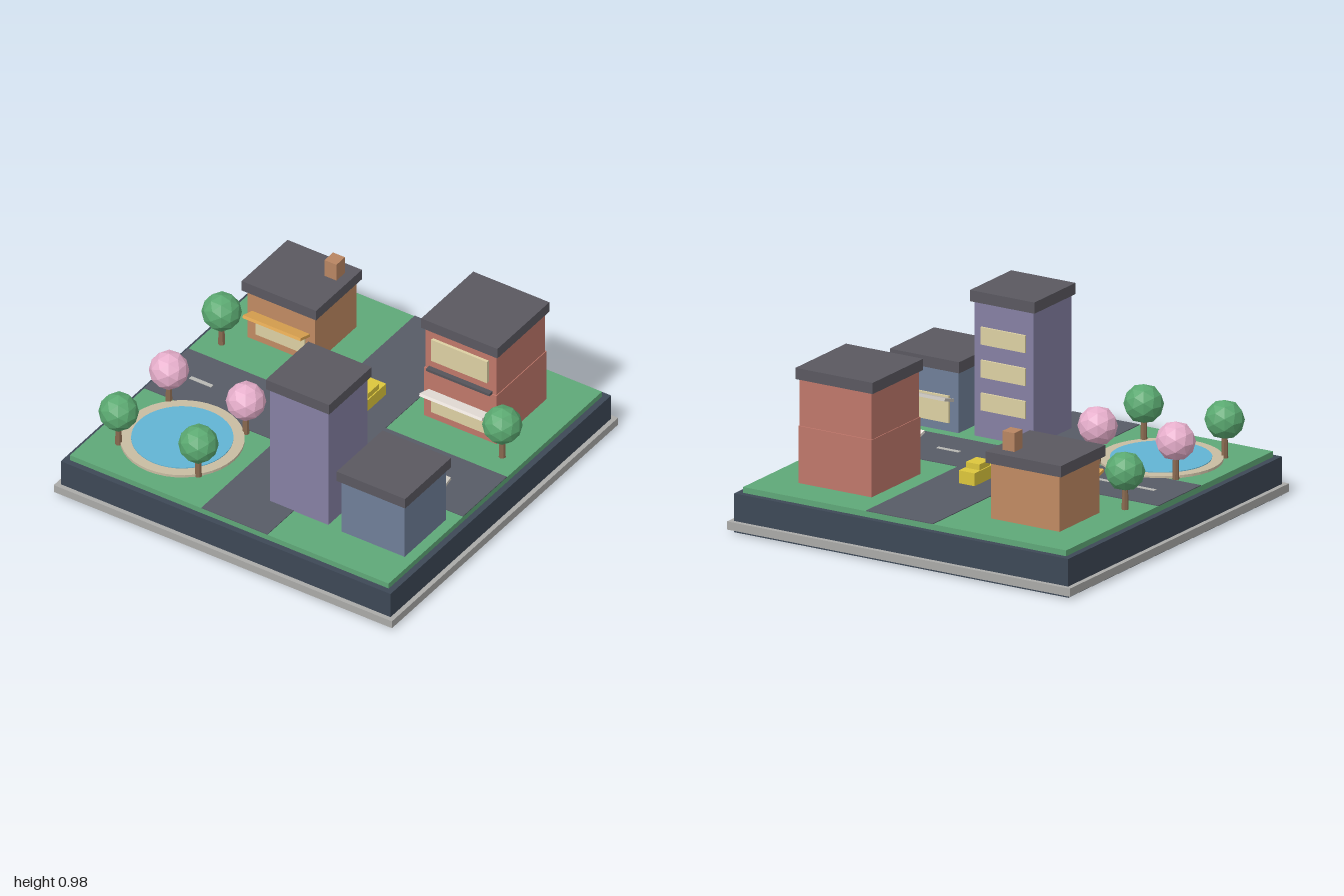
import * as THREE from 'three';

const mats = {};
const mat = (color) => (mats[color] ??= new THREE.MeshStandardMaterial({ color, flatShading: true }));

function add(parent, name, geometry, color, x, y, z) {
  const mesh = new THREE.Mesh(geometry, mat(color));
  mesh.name = name;
  mesh.position.set(x, y, z);
  parent.add(mesh);
  return mesh;
}

// Box whose y is given at its underside
const block = (parent, name, color, w, h, d, x, y, z) =>
  add(parent, name, new THREE.BoxGeometry(w, h, d), color, x, y + h / 2, z);

const GROUND = 0.23, ROOF = 0x5a5860, GLASS = 0xdcd0a3;

function group(parent, name, x, y, z) {
  const g = new THREE.Group();
  g.name = name;
  g.position.set(x, y, z);
  parent.add(g);
  return g;
}

// Building modelled facing +z with its origin on the ground
function building(parent, name, o) {
  const g = group(parent, name, o.x, GROUND, o.z);
  if (o.faceBack) g.rotation.y = Math.PI;
  block(g, 'walls', o.color, o.w, o.h, o.d, 0, 0, 0);
  const [rw, rd] = o.roof;
  block(g, 'roof', ROOF, rw, 0.058, rd, 0, o.roofY ?? o.h, 0);
  for (const [y, h, w] of o.windows) {
    block(g, 'window', GLASS, w, h, 0.016, 0, y, o.d / 2 + 0.002);
  }
  if (o.awning) {
    const a = block(g, 'awning', o.awning, o.awningWidth, 0.016, 0.1, 0, 0.168, o.d / 2 + 0.037);
    a.rotation.x = -0.3;
  }
  return g;
}

function tree(parent, x, z, color) {
  const g = group(parent, 'tree', x, GROUND, z);
  add(g, 'trunk', new THREE.CylinderGeometry(0.014, 0.018, 0.14, 7), 0x8a6a50, 0, 0.07, 0);
  add(g, 'foliage', new THREE.IcosahedronGeometry(0.1, 1), color, 0, 0.197, 0);
}

export function createModel() {
  const city = new THREE.Group();
  city.name = 'cityBlock';

  // Display base
  block(city, 'baseSlab', 0x3d4856, 1.95, 0.2, 1.95, 0, 0, 0);
  block(city, 'baseTrim', 0xaaaaa8, 2, 0.042, 2, 0, 0.016, 0);
  block(city, 'grass', 0x5fa878, 1.885, 0.03, 1.885, 0, 0.2, 0);

  // Crossing roads with lane dashes
  block(city, 'mainRoad', 0x575b66, 0.39, 0.004, 1.885, 0.03, GROUND, 0);
  for (const [x0, x1] of [[-0.9425, -0.165], [0.225, 0.9425]]) {
    block(city, 'crossRoad', 0x575b66, x1 - x0, 0.004, 0.387, (x0 + x1) / 2, GROUND, 0.092);
  }
  for (const x of [-0.735, -0.49, 0.405, 0.65]) {
    block(city, 'laneDash', 0xb8b8b4, 0.13, 0.003, 0.022, x, GROUND + 0.004, 0.092);
  }

  // Pond
  add(city, 'pondRim', new THREE.CylinderGeometry(0.307, 0.307, 0.014, 40), 0xc8bca2, -0.553, 0.237, 0.532);
  add(city, 'pondWater', new THREE.CylinderGeometry(0.252, 0.252, 0.02, 40), 0x62b4d4, -0.553, 0.238, 0.532);

  // Cafe with chimney
  const cafe = building(city, 'cafe', {
    x: -0.555, z: -0.527, w: 0.4, d: 0.365, h: 0.29, roof: [0.44, 0.405], color: 0xc08a62,
    windows: [[0.045, 0.12, 0.29]], awning: 0xe2a853, awningWidth: 0.342,
  });
  block(cafe, 'chimney', 0xb88562, 0.07, 0.11, 0.075, 0.13, 0.335, -0.097);

  // Two-storey shop
  const shop = building(city, 'shop', {
    x: 0.535, z: -0.52, w: 0.428, d: 0.444, h: 0.295, roofY: 0.537, roof: [0.45, 0.46], color: 0xbf776a,
    windows: [[0.045, 0.12, 0.33], [0.36, 0.13, 0.33]], awning: 0xf0e8e2, awningWidth: 0.37,
  });
  block(shop, 'upperWalls', 0xbf776a, 0.42, 0.242, 0.43, 0, 0.295, 0);
  block(shop, 'ledge', 0x55545a, 0.375, 0.014, 0.03, 0, 0.296, 0.229);

  // Tower and small shop face the cross street
  building(city, 'tower', {
    x: 0.257, z: 0.537, w: 0.345, d: 0.345, h: 0.695, roof: [0.375, 0.375], color: 0x8580a3,
    windows: [0.14, 0.31, 0.48].map((y) => [y, 0.09, 0.26]), faceBack: true,
  });
  building(city, 'smallShop', {
    x: 0.7, z: 0.535, w: 0.372, d: 0.365, h: 0.317, roof: [0.405, 0.405], color: 0x6f7f98,
    windows: [[0.045, 0.14, 0.27]], awning: 0xc6c2ba, awningWidth: 0.32, faceBack: true,
  });

  // Taxi
  const car = group(city, 'car', 0.03, GROUND + 0.004, -0.232);
  block(car, 'carBody', 0xdcc63c, 0.092, 0.066, 0.195, 0, 0, 0);
  block(car, 'carCabin', 0xdcc63c, 0.08, 0.03, 0.095, 0, 0.066, 0.005);

  // Trees
  const GREEN = 0x5aa870, PINK = 0xe6aecb;
  tree(city, -0.83, -0.23, GREEN);
  tree(city, 0.83, -0.23, GREEN);
  tree(city, -0.78, 0.31, PINK);
  tree(city, -0.325, 0.31, PINK);
  tree(city, -0.797, 0.73, GREEN);
  tree(city, -0.325, 0.73, GREEN);

  return city;
}
